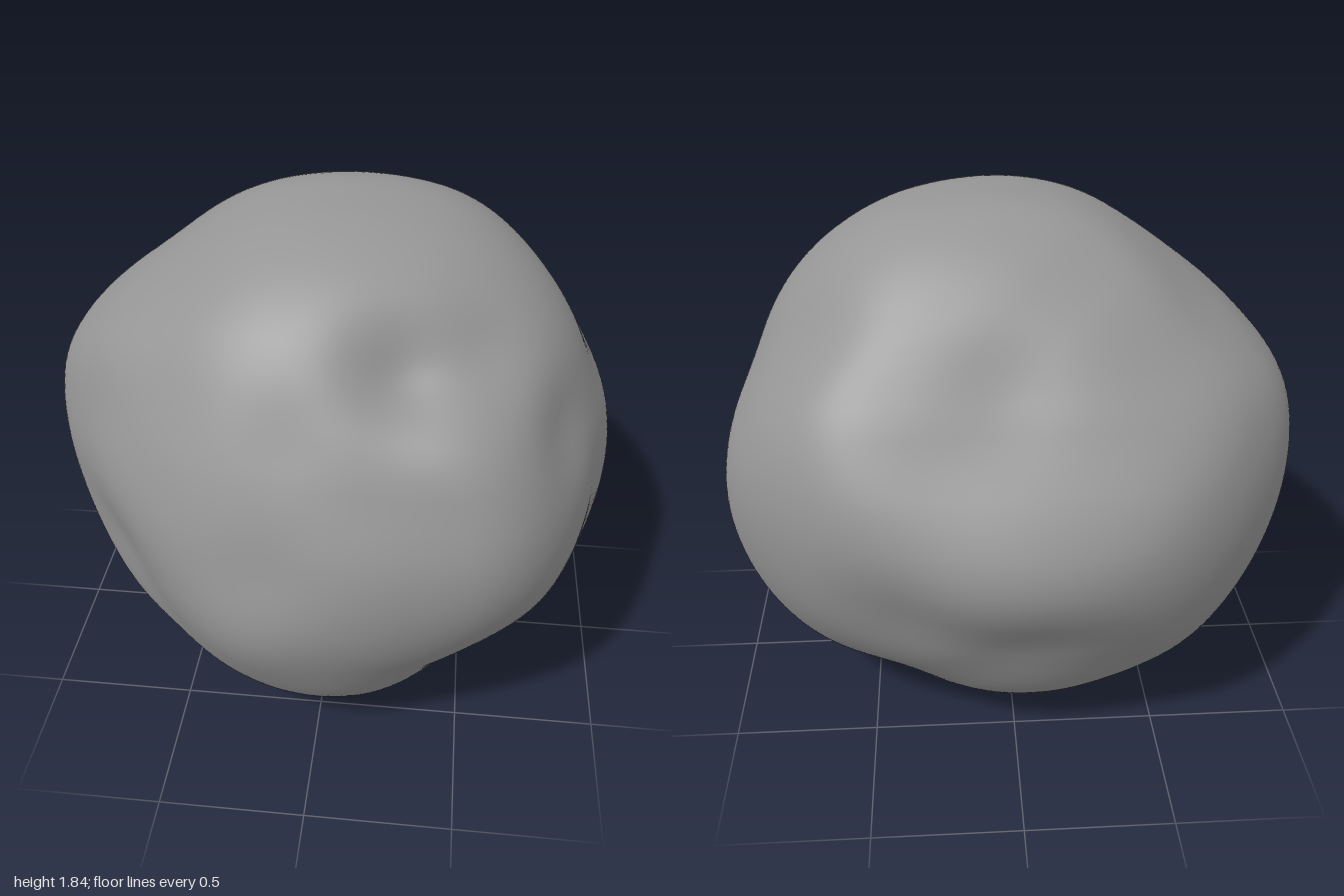
import * as THREE from 'three';
import { mergeVertices } from 'three/addons/utils/BufferGeometryUtils.js';

// Cross-section outlines, as [across, up] pairs around the middle of the rock.
const frontOutline = [1, -.2, .95, .13, .87, .33, .77, .58, .62, .75, .45, .85, .2, .9, 0, .92, -.3, .86, -.45, .75, -.6, .64,
  -.8, .51, -.95, .34, -1, .18, -.99, .01, -.94, -.22, -.87, -.42, -.75, -.57, -.55, -.7, -.3, -.82, -.05, -.9,
  .15, -.92, .35, -.88, .64, -.78, .82, -.6, .95, -.42];
const sideOutline = [.93, -.12, .9, .11, .84, .23, .78, .41, .67, .58, .52, .77, .38, .85, .2, .89, 0, .89, -.13, .92, -.28, .86,
  -.42, .73, -.58, .53, -.73, .3, -.85, .12, -.93, -.02, -.92, -.1, -.83, -.3, -.7, -.55, -.56, -.75, -.4, -.85,
  -.2, -.875, 0, -.92, .2, -.9, .4, -.84, .6, -.77, .7, -.66, .82, -.47, .9, -.29];
const topOutline = [0, -.94, .15, -.93, .35, -.87, .55, -.77, .7, -.65, .84, -.51, .96, -.35, 1, -.18, .97, 0, .9, .17, .87, .33,
  .8, .52, .68, .75, .62, .81, .4, .86, .1, .92, -.05, .92, -.3, .88, -.45, .82, -.6, .66, -.8, .4, -.93, .2, -1, 0,
  -.99, -.2, -.92, -.4, -.8, -.55, -.6, -.72, -.4, -.84, -.2, -.91];
const diagonalA = [.99, .1, .9, .43, .75, .66, .52, .8, .27, .88, -.05, .92, -.27, .85, -.58, .69, -.78, .54, -.82, .38, -.89, .19,
  -.86, -.15, -.78, -.52, -.61, -.73, -.33, -.91, 0, -.96, .29, -.93, .52, -.86, .75, -.68, .92, -.41, .98, -.18];
const diagonalB = [.89, .03, .84, .23, .73, .5, .59, .72, .36, .86, -.03, .96, -.4, .88, -.67, .58, -.93, .34, -.99, .19,
  -.94, -.12, -.8, -.41, -.6, -.63, -.32, -.87, -.03, -.95, .31, -.88, .67, -.69, .79, -.52, .82, -.27];
const diagonalC = [.98, 0, .91, .3, .71, .53, .4, .72, .15, .88, .06, .93, -.16, .94, -.42, .84, -.67, .68, -.87, .4, -1.01, 0,
  -.88, -.33, -.69, -.59, -.53, -.83, -.36, -.91, .03, -.9, .37, -.86, .63, -.75, .85, -.47, .95, -.21];

// Hollows (positive) and bulges (negative): direction, depth, width.
const hollows = [
  [.28, .66, .62, .07, .12], [.5, .62, .5, .05, .13], [.4, .4, .75, -.02, .12],
  [.78, .33, .42, .04, .14], [-.12, .07, .95, .025, .13], [-.08, .45, .78, .02, .13],
  [-.2, -.24, .9, -.02, .15], [-.75, -.15, .6, .03, .17], [-.5, -.6, .6, .02, .2],
  [.62, -.65, .45, .03, .2], [.74, -.66, .02, .03, .1], [.48, -.81, -.22, .03, .18],
  [.41, -.21, -.85, .04, .17], [0, -.38, -.85, .035, .2], [.03, .58, -.74, .035, .18],
];

// Turns an outline into a smooth function from angle to radius.
function outlineRadius(outline) {
  const points = [];
  for (let i = 0; i < outline.length; i += 2) {
    points.push([Math.atan2(outline[i + 1], outline[i]), Math.hypot(outline[i], outline[i + 1])]);
  }
  points.sort((a, b) => a[0] - b[0]);
  const first = points[0], last = points[points.length - 1], turn = Math.PI * 2;
  points.unshift([last[0] - turn, last[1]]);
  points.push([first[0] + turn, first[1]]);
  const sample = (angle) => {
    const a = THREE.MathUtils.euclideanModulo(angle + Math.PI, turn) - Math.PI;
    let i = 1;
    while (i < points.length - 1 && points[i][0] < a) i++;
    const [a0, r0] = points[i - 1], [a1, r1] = points[i];
    return r0 + (r1 - r0) * (a - a0) / (a1 - a0);
  };
  return (angle) => [-.09, -.045, 0, .045, .09].reduce((sum, o) => sum + sample(angle + o), 0) / 5;
}

const section = (across, up, outline) => ({
  across: new THREE.Vector3(...across).normalize(),
  up: new THREE.Vector3(...up).normalize(),
  radius: outlineRadius(outline),
});

// Tilt of the diagonal sections
const s = Math.sin(25 * Math.PI / 180) * Math.SQRT1_2, c = Math.cos(25 * Math.PI / 180);

function rockGeometry() {
  const sections = [
    section([1, 0, 0], [0, 1, 0], frontOutline),
    section([0, 0, 1], [0, 1, 0], sideOutline),
    section([1, 0, 0], [0, 0, 1], topOutline),
    section([1, 0, -1], [-s, c, -s], diagonalA),
    section([-1, 0, 1], [s, c, s], diagonalB),
    section([-1, 0, -1], [s, c, -s], diagonalC),
  ];
  const dents = hollows.map(([x, y, z, depth, width]) => ({ dir: new THREE.Vector3(x, y, z).normalize(), depth, width }));

  let geometry = new THREE.IcosahedronGeometry(1, 40);
  geometry.deleteAttribute('uv');
  geometry.deleteAttribute('normal');
  geometry = mergeVertices(geometry, 1e-5);

  // Blend the sections around each vertex, nearest section strongest, then dent it.
  const position = geometry.attributes.position, d = new THREE.Vector3(), power = 16;
  for (let i = 0; i < position.count; i++) {
    d.fromBufferAttribute(position, i).normalize();
    let sum = 0, weights = 0;
    for (const { across, up, radius } of sections) {
      const u = d.dot(across), v = d.dot(up), reach = Math.hypot(u, v);
      sum += Math.pow(reach / radius(Math.atan2(v, u)), power);
      weights += Math.pow(reach, power);
    }
    let r = Math.pow(weights / sum, 1 / power);
    for (const { dir, depth, width } of dents) {
      r -= depth * Math.exp(-dir.distanceToSquared(d) / (2 * width * width));
    }
    position.setXYZ(i, d.x * r, d.y * r, d.z * r);
  }

  // Rest the rock on the ground.
  geometry.computeBoundingBox();
  geometry.translate(0, -geometry.boundingBox.min.y, 0);
  geometry.computeVertexNormals();
  return geometry;
}

export function createModel() {
  const group = new THREE.Group();
  group.name = 'boulder';
  const stone = new THREE.MeshStandardMaterial({ color: 0x969696 });
  stone.name = 'grey stone';
  const rock = new THREE.Mesh(rockGeometry(), stone);
  rock.name = 'rock';
  group.add(rock);
  return group;
}
